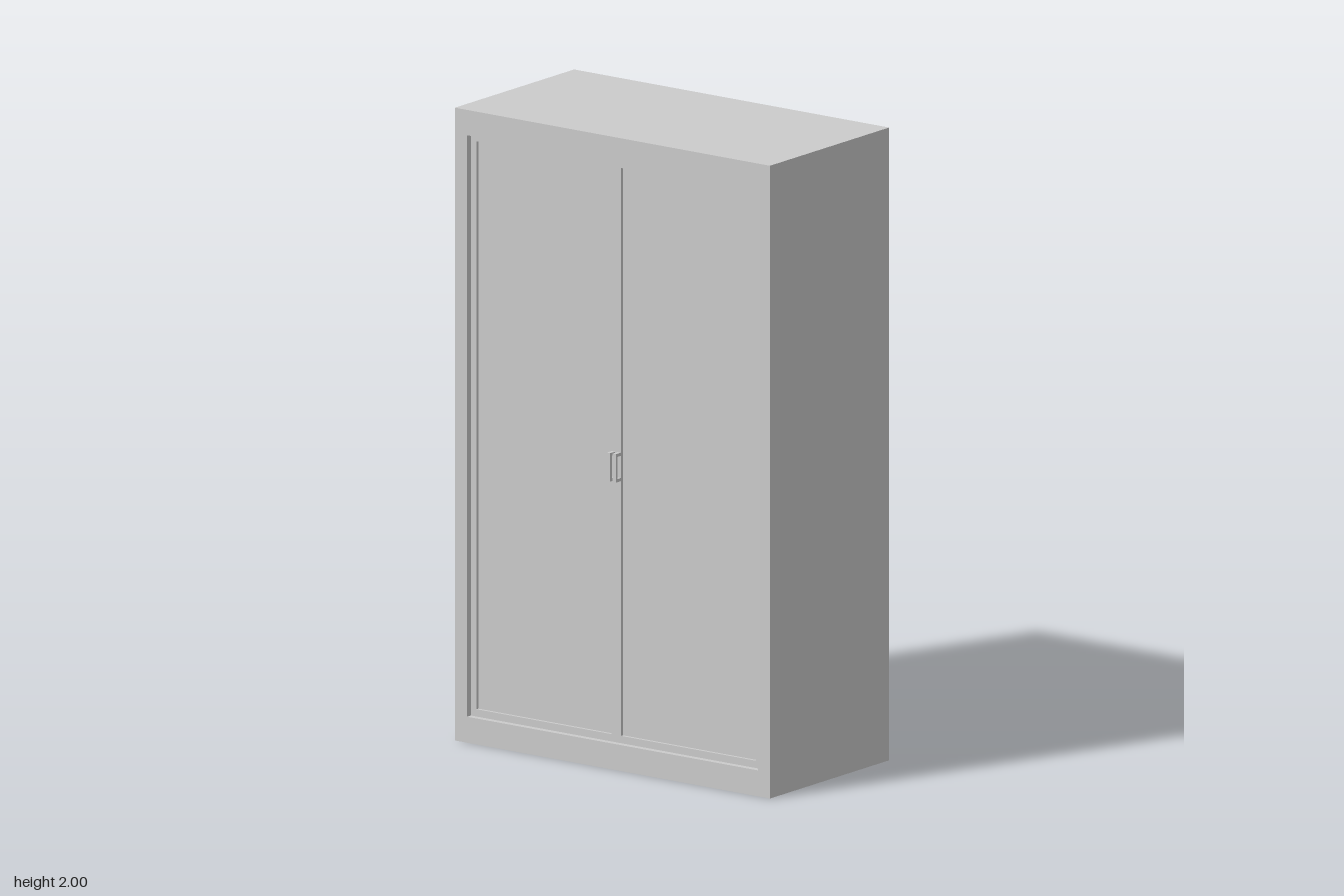
import * as THREE from 'three';

const material = new THREE.MeshStandardMaterial({ color: 0xcccccc, flatShading: true });

function add(parent, name, geometry, x = 0, y = 0, z = 0) {
  const mesh = new THREE.Mesh(geometry, material);
  mesh.name = name;
  mesh.position.set(x, y, z);
  parent.add(mesh);
  return mesh;
}

// Traces a rectangle into a Shape or Path
function rect(path, x0, y0, x1, y1) {
  path.moveTo(x0, y0);
  path.lineTo(x1, y0);
  path.lineTo(x1, y1);
  path.lineTo(x0, y1);
  path.closePath();
  return path;
}

// Flat plate with rectangular openings, each given as [x0, y0, x1, y1]
function plate(outer, holes, depth) {
  const shape = rect(new THREE.Shape(), ...outer);
  for (const h of holes) shape.holes.push(rect(new THREE.Path(), ...h));
  return new THREE.ExtrudeGeometry(shape, { depth, bevelEnabled: false });
}

export function createModel() {
  const cabinet = new THREE.Group();
  cabinet.name = 'cabinet';

  const W = 0.606, H = 2, back = -0.305, front = 0.3;
  const panelZ = 0.27, doorZ = 0.28;

  // Carcass; its front face forms the sunken door panels
  add(cabinet, 'carcass', new THREE.BoxGeometry(2 * W, H, panelZ - back), 0, H / 2, (panelZ + back) / 2);

  // Front frame around the door opening
  const opening = [-0.56, 0.082, 0.56, 1.92];
  add(cabinet, 'frontFrame', plate([-W, 0, W, H], [opening], front - panelZ), 0, 0, panelZ);

  for (const side of [-1, 1]) {
    const door = new THREE.Group();
    door.name = side > 0 ? 'leftDoor' : 'rightDoor';
    cabinet.add(door);

    // Door rim around the sunken panel
    const span = (a, b) => (side > 0 ? [a, b] : [-b, -a]);
    const [x0, x1] = span(0, 0.56);
    const [p0, p1] = span(0.018, 0.538);
    add(door, 'doorRim', plate([x0, 0.082, x1, 1.92], [[p0, 0.105, p1, 1.9]], doorZ - panelZ), 0, 0, panelZ);

    // Pull handle: upright bar on two short posts
    const handle = new THREE.Group();
    handle.name = 'handle';
    handle.position.set(side * 0.011, 0.955, doorZ);
    door.add(handle);
    add(handle, 'handleBar', new THREE.BoxGeometry(0.013, 0.09, 0.009), 0, 0, 0.0205);
    for (const end of [-1, 1]) {
      add(handle, 'handlePost', new THREE.BoxGeometry(0.013, 0.01, 0.016), 0, end * 0.04, 0.008);
    }
  }

  return cabinet;
}
